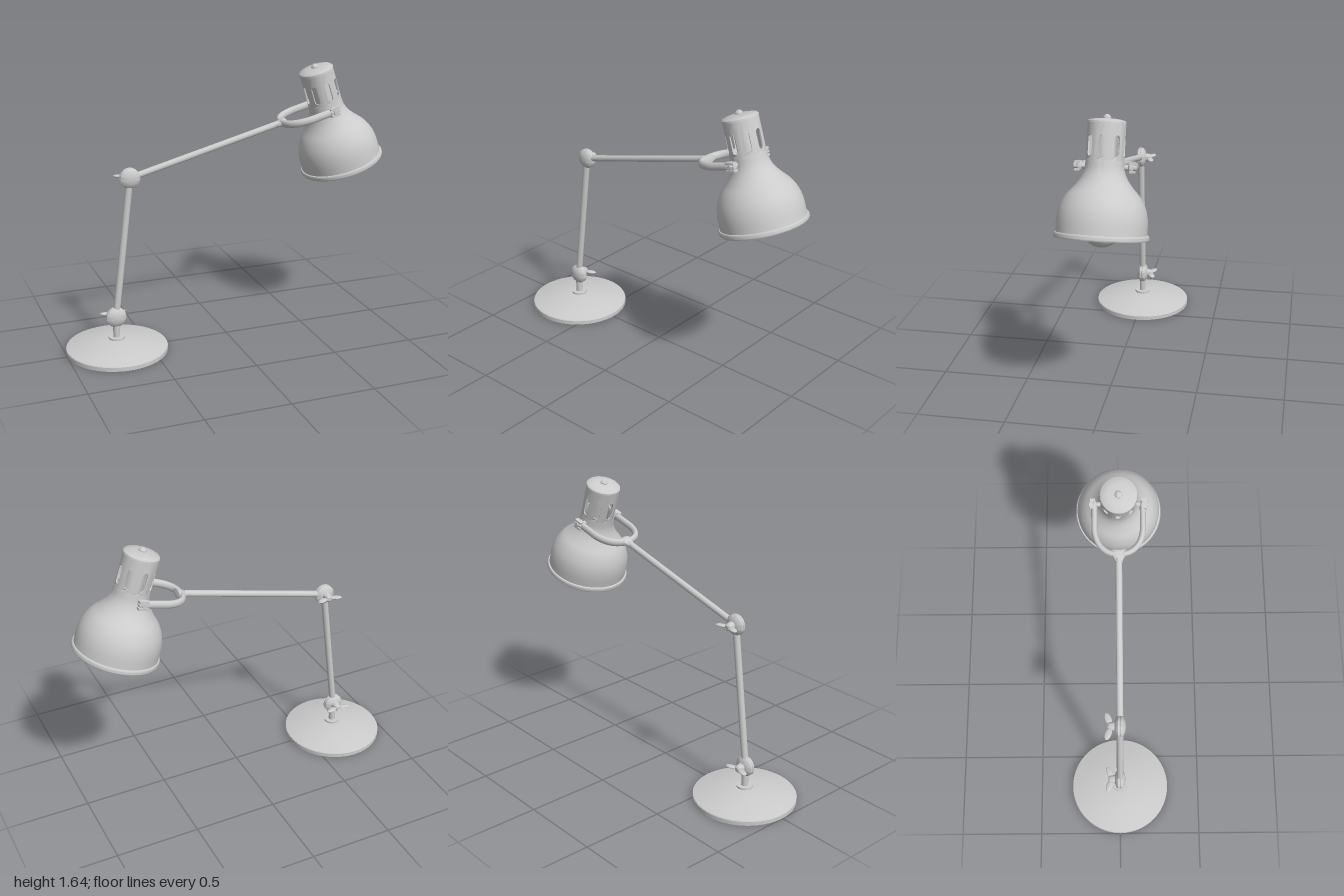
import * as THREE from 'three';
import { mergeGeometries, toCreasedNormals } from 'three/addons/utils/BufferGeometryUtils.js';

const material = new THREE.MeshStandardMaterial({ color: 0xcccccc });

function add(parent, name, geometry, x = 0, y = 0, z = 0) {
  const mesh = new THREE.Mesh(geometry, material);
  mesh.name = name;
  mesh.position.set(x, y, z);
  parent.add(mesh);
  return mesh;
}

function group(parent, name, x, y, angle = 0) {
  const g = new THREE.Group();
  g.name = name;
  g.position.set(x, y, 0);
  g.rotation.z = angle;
  parent.add(g);
  return g;
}

// Turned part: profile of [radius, height] from bottom to top
function lathe(profile, segments = 64, crease = 0.6) {
  const points = profile.map(([r, y]) => new THREE.Vector2(r, y));
  return toCreasedNormals(new THREE.LatheGeometry(points, segments), crease);
}

const rod = (r, length) => new THREE.CylinderGeometry(r, r, length, 24);

// Lens-shaped hinge with a wing nut on its back
function addJoint(parent, name, x, y, angle) {
  const g = group(parent, name, x, y, angle);
  const lens = [[0, -0.034], [0.03, -0.031], [0.05, -0.022], [0.06, -0.012], [0.06, -0.002],
    [0.057, 0], [0.06, 0.002], [0.06, 0.012], [0.05, 0.022], [0.03, 0.031], [0, 0.034]];
  add(g, 'hingeDisc', lathe(lens, 40)).rotation.x = Math.PI / 2;
  const nut = [[0, 0.02], [0.026, 0.02], [0.026, 0.035], [0.02, 0.065], [0.012, 0.072], [0, 0.072]];
  add(g, 'wingNutHub', lathe(nut, 24)).rotation.x = -Math.PI / 2;
  for (const side of [-1, 1]) {
    const wing = add(g, 'wingNutWing', new THREE.SphereGeometry(1, 24, 16), side * 0.043, 0, -0.066);
    wing.scale.set(0.038, 0.008, 0.019);
    wing.rotation.y = side * 0.35;
  }
}

// One eighth of the neck wall with a rounded slot, bent round the axis
function neckPanel(radius, bottom, top, slotBottom, slotTop, slotWidth) {
  const half = (Math.PI / 8) * radius;
  const s = slotWidth / 2;
  const shape = new THREE.Shape();
  const steps = 8;
  shape.moveTo(-half, bottom);
  for (let i = 1; i <= steps; i++) shape.lineTo(-half + (2 * half * i) / steps, bottom);
  for (let i = 0; i <= steps; i++) shape.lineTo(half - (2 * half * i) / steps, top);
  const slot = new THREE.Path();
  slot.absarc(0, slotTop - s, s, 0, Math.PI, false);
  slot.absarc(0, slotBottom + s, s, Math.PI, Math.PI * 2, false);
  slot.closePath();
  shape.holes.push(slot);
  const geometry = new THREE.ExtrudeGeometry(shape, { depth: 0.008, bevelEnabled: false, curveSegments: 10 });
  const p = geometry.attributes.position;
  for (let i = 0; i < p.count; i++) {
    const a = p.getX(i) / radius;
    const r = radius - 0.008 + p.getZ(i);
    p.setXYZ(i, Math.sin(a) * r, p.getY(i), Math.cos(a) * r);
  }
  return geometry;
}

function addHead(parent) {
  const head = group(parent, 'lampHead', 0.755, 1.03, THREE.MathUtils.degToRad(18));

  // Bell shade: outer curve up, inner curve back down
  const bell = new THREE.CatmullRomCurve3([[0.243, 0.01], [0.242, 0.09], [0.23, 0.15], [0.2, 0.21],
    [0.155, 0.262], [0.124, 0.306], [0.107, 0.35], [0.102, 0.4]].map(([r, y]) => new THREE.Vector3(r, y, 0)));
  const outer = bell.getPoints(28).map((v) => [v.x, v.y]);
  const inner = outer.map(([r, y]) => [r - 0.008, y]).reverse();
  add(head, 'shade', lathe([...outer, ...inner], 72));

  // Rolled lip round the opening
  const lip = [[0.234, -0.012], [0.25, -0.014], [0.255, -0.006], [0.255, 0.006], [0.25, 0.014],
    [0.243, 0.016], [0.234, 0.012], [0.234, -0.012]];
  add(head, 'shadeLip', lathe(lip, 72));

  // Slotted neck
  const panels = [];
  for (let i = 0; i < 8; i++) {
    panels.push(neckPanel(0.102, 0.398, 0.6, 0.42, 0.532, 0.036).rotateY((i * Math.PI) / 4));
  }
  add(head, 'slottedNeck', toCreasedNormals(mergeGeometries(panels), 0.6));

  // Domed cap and its finial
  add(head, 'neckCap', lathe([[0, 0.58], [0.094, 0.58], [0.094, 0.594], [0.104, 0.594], [0.103, 0.604],
    [0.096, 0.611], [0.06, 0.619], [0, 0.623]]));
  add(head, 'capFinial', lathe([[0.022, 0.618], [0.022, 0.628], [0.016, 0.636], [0.008, 0.642], [0, 0.643]], 24));

  // Socket and bulb
  add(head, 'bulbSocket', lathe([[0, 0.2], [0.055, 0.2], [0.055, 0.585], [0, 0.585]], 32));
  const bulb = [];
  for (let i = 0; i <= 20; i++) {
    const a = -Math.PI / 2 + (i / 20) * 2.35;
    bulb.push([Math.max(0, 0.105 * Math.cos(a)), 0.045 + 0.105 * Math.sin(a)]);
  }
  bulb.push([0.055, 0.15], [0.045, 0.19], [0.045, 0.22]);
  add(head, 'bulb', lathe(bulb, 48));
}

function addArm(parent) {
  // Upper arm runs along local +x from the elbow
  const angle = Math.atan2(0.32, 1.22);
  const arm = group(parent, 'upperArm', -0.59, 1.055, angle);
  add(arm, 'upperRod', rod(0.019, 0.95), 0.475).rotation.z = -Math.PI / 2;

  // Flared root of the fork
  const root = add(arm, 'forkRoot', lathe([[0, 0], [0.019, 0], [0.026, 0.02], [0.05, 0.06], [0.045, 0.075], [0, 0.08]], 32), 0.922);
  root.rotation.z = -Math.PI / 2;
  root.scale.x = 0.5;

  // U-shaped fork, taller than it is wide
  const half = [[1.25, 0.138], [1.17, 0.138], [1.09, 0.135], [1.03, 0.112], [0.99, 0.07]];
  const path = [...half, [0.972, 0], ...half.map(([x, z]) => [x, -z]).reverse()];
  const curve = new THREE.CatmullRomCurve3(path.map(([x, z]) => new THREE.Vector3(x, 0, z)));
  add(arm, 'fork', new THREE.TubeGeometry(curve, 80, 0.017, 16, false)).scale.y = 1.35;

  // Clamp plates and pivot bolts on each side of the shade
  for (const side of [-1, 1]) {
    const clamp = group(arm, 'shadeClamp', 1.261, 0);
    for (const dy of [-0.02, 0, 0.02]) {
      add(clamp, 'clampPlate', new THREE.BoxGeometry(0.058, 0.012, 0.03), 0, dy, side * 0.147);
    }
    add(clamp, 'clampCore', new THREE.SphereGeometry(1, 24, 16), 0, 0, side * 0.138).scale.set(0.026, 0.03, 0.016);
    add(clamp, 'pivotBolt', rod(0.014, 0.08), 0, 0, side * 0.128).rotation.x = Math.PI / 2;
  }
}

export function createModel() {
  const lamp = new THREE.Group();
  lamp.name = 'deskLamp';

  // Domed foot with collar and stem
  add(lamp, 'base', lathe([[0, 0], [0.303, 0], [0.303, 0.024], [0.3, 0.029], [0.24, 0.045], [0.17, 0.061],
    [0.1, 0.071], [0.05, 0.075], [0, 0.076]], 80, 0.4), -0.697);
  add(lamp, 'baseCollar', rod(0.048, 0.02), -0.697, 0.076);
  add(lamp, 'stem', rod(0.02, 0.13), -0.697, 0.14);

  // Lower arm between the two joints
  const from = new THREE.Vector2(-0.697, 0.21);
  const to = new THREE.Vector2(-0.59, 1.055);
  const mid = from.clone().add(to).multiplyScalar(0.5);
  const lower = add(lamp, 'lowerArm', rod(0.02, from.distanceTo(to)), mid.x, mid.y);
  lower.rotation.z = -Math.atan2(to.x - from.x, to.y - from.y);

  addJoint(lamp, 'baseJoint', from.x, from.y, 0);
  addJoint(lamp, 'elbowJoint', to.x, to.y, 0);
  addArm(lamp);
  addHead(lamp);
  return lamp;
}
